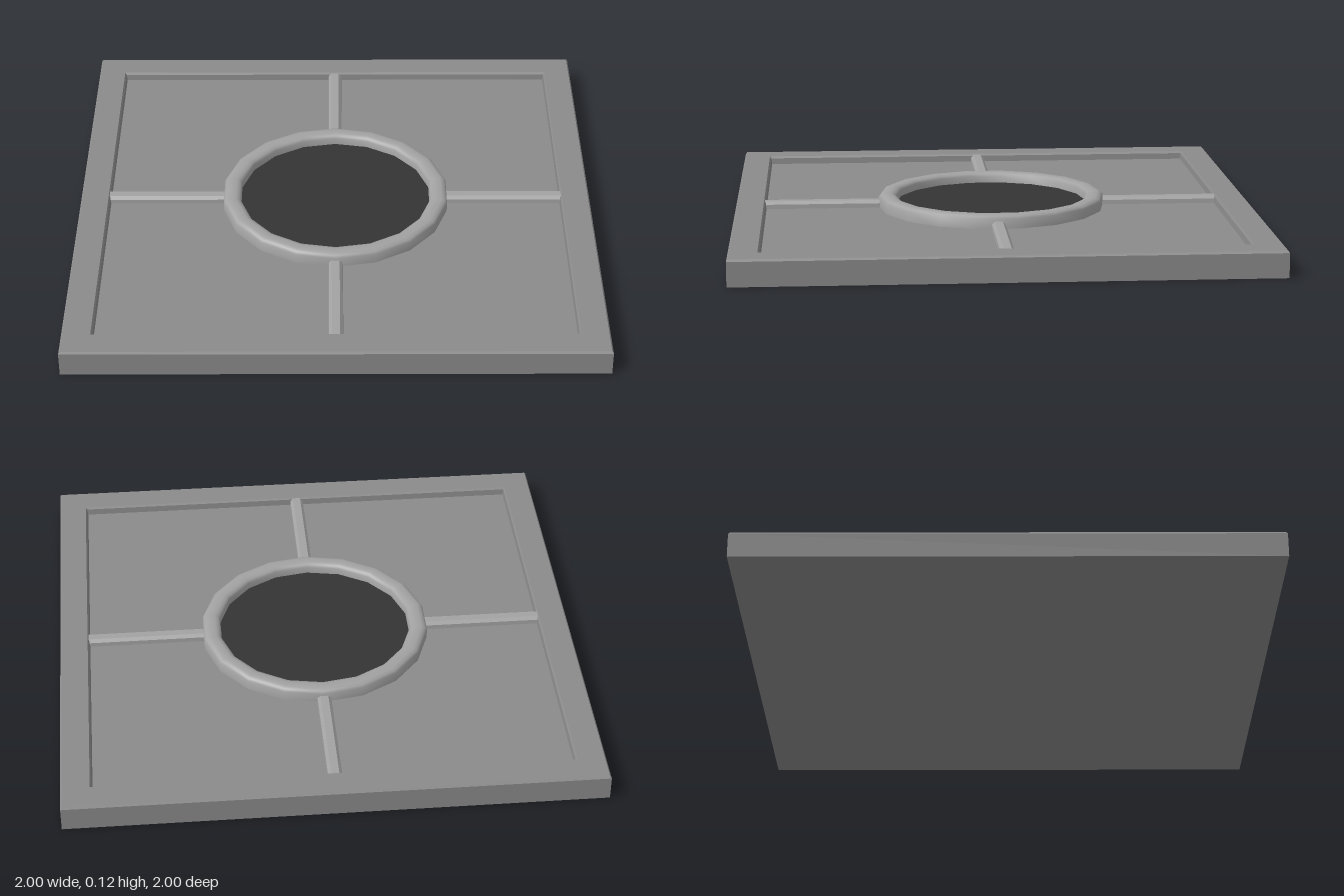
import * as THREE from 'three';
import { toCreasedNormals } from 'three/addons/utils/BufferGeometryUtils.js';

const stone = new THREE.MeshStandardMaterial({ color: 0x8b8b8b });
const trim = new THREE.MeshStandardMaterial({ color: 0xa2a2a2 });
const dark = new THREE.MeshStandardMaterial({ color: 0x343434 });
const points = (list) => list.map(([x, y]) => new THREE.Vector2(x, y));

function addMesh(parent, name, geometry, material) {
  const mesh = new THREE.Mesh(geometry, material);
  mesh.name = name;
  parent.add(mesh);
  return mesh;
}

export function createModel() {
  const model = new THREE.Group();
  model.name = 'floorTile';
  const floorY = 0.068;

  // Square slab with a raised border and sunken floor: a four-sided lathe with mitred corners
  const slab = new THREE.LatheGeometry(points([
    [0, 0], [1, 0], [1, 0.092], [0.994, 0.1], [0.893, 0.1],
    [0.887, 0.092], [0.884, floorY], [0, floorY],
  ]), 4);
  slab.rotateY(Math.PI / 4);
  slab.scale(Math.SQRT2, 1, Math.SQRT2);
  addMesh(model, 'slab', toCreasedNormals(slab, 0.1), stone);

  // Four bevelled ribs from the ring to the border
  const ribProfile = new THREE.Shape(points([
    [-0.028, floorY - 0.01], [0.028, floorY - 0.01], [0.026, 0.085],
    [0.015, 0.096], [-0.015, 0.096], [-0.026, 0.085],
  ]));
  const ribGeometry = new THREE.ExtrudeGeometry(ribProfile, { depth: 0.482, bevelEnabled: false });
  ribGeometry.translate(0, 0, 0.41);
  for (let i = 0; i < 4; i++) {
    addMesh(model, 'rib', ribGeometry, trim).rotation.y = i * Math.PI / 2;
  }

  // Rounded ring with eighteen sides
  const ring = new THREE.LatheGeometry(points([
    [0.444, floorY - 0.01], [0.444, 0.106], [0.437, 0.115], [0.423, 0.12],
    [0.396, 0.12], [0.382, 0.115], [0.375, 0.106], [0.375, floorY - 0.01],
  ]), 18);
  addMesh(model, 'ring', toCreasedNormals(ring, 0.8), trim);

  // Dark disc inside the ring
  const disc = new THREE.CircleGeometry(0.38, 18);
  disc.rotateX(-Math.PI / 2);
  disc.rotateY(Math.PI / 2);
  disc.translate(0, 0.08, 0);
  addMesh(model, 'disc', disc, dark);

  return model;
}
